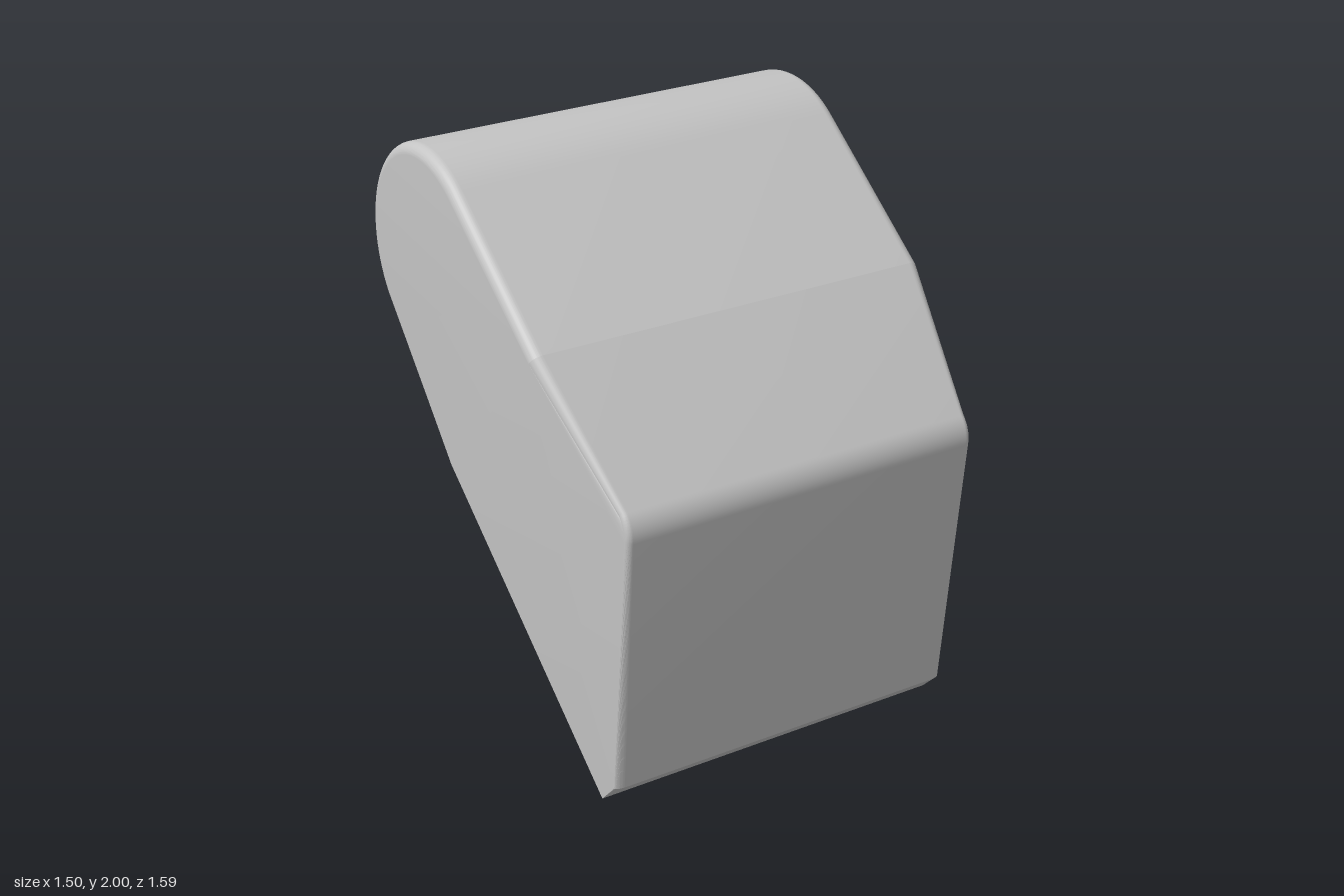
import * as THREE from 'three';
import { toCreasedNormals } from 'three/addons/utils/BufferGeometryUtils.js';

const FILLET_STEPS = 16;

// One outline station: the edge on the rim (z, y, half width), the matching
// edge of the side face, and how rounded the band between them is (0 = flat chamfer).
const station = (outer, inner, round = 1) => ({ outer, inner, round });

// Arc of stations around a centre in the z-y plane, angles in degrees from +z.
function arc(cz, cy, r, from, to, steps, inset, rimX, sideX) {
  const list = [];
  for (let i = 0; i <= steps; i++) {
    const a = THREE.MathUtils.degToRad(from + (to - from) * i / steps);
    const at = (rad, x) => [cz + rad * Math.cos(a), cy + rad * Math.sin(a), x];
    list.push(station(at(r, rimX), at(r - inset, sideX)));
  }
  return list;
}

function bodyGeometry() {
  // Outline from the foot, up the front, over the rounded top and down the back
  const outline = [
    station([0.52, 0, 0.60], [0.61, 0, 0.665], 0),
    station([0.61, 0, 0.664], [0.611, 0.001, 0.665], 0),
    station([0.70, 0.085, 0.625], [0.685, 0.085, 0.665]),
    ...arc(0.676, 1.062, 0.12, -5.6, 45.6, 10, 0.02, 0.645, 0.667),
    station([0.36, 1.54, 0.71], [0.335, 1.51, 0.75]),
    ...arc(-0.395, 1.605, 0.395, 53.3, 217.7, 36, 0.04, 0.71, 0.75),
    station([-0.29, 0.82, 0.69], [-0.25, 0.90, 0.75], 0.3),
  ];
  const shoulder = outline.findIndex((s) => s.outer[0] === 0.36);
  const n = outline.length;

  // Point on the rounded or chamfered band, t = 0 at the side face, 1 at the rim
  const bandPoint = ({ outer, inner, round }, t, side) => {
    const a = t * Math.PI / 2;
    const move = THREE.MathUtils.lerp(t, Math.sin(a), round);
    const narrow = THREE.MathUtils.lerp(t, 1 - Math.cos(a), round);
    const mix = (i, f) => THREE.MathUtils.lerp(inner[i], outer[i], f);
    return [side * mix(2, narrow), mix(1, move), mix(0, move)];
  };

  // Rings running from the left side face across to the right one
  const positions = [];
  const rings = 2 * (FILLET_STEPS + 1);
  for (let j = 0; j < rings; j++) {
    const side = j <= FILLET_STEPS ? 1 : -1;
    const t = (side > 0 ? j : rings - 1 - j) / FILLET_STEPS;
    outline.forEach((s) => positions.push(...bandPoint(s, t, side)));
  }

  const index = [];
  for (let j = 0; j < rings - 1; j++) {
    for (let i = 0; i < n; i++) {
      const a = j * n + i, b = j * n + (i + 1) % n;
      index.push(a, b, a + n, b, b + n, a + n);
    }
  }
  // Side faces fan out from the shoulder, which gives the tapered front facets
  const last = (rings - 1) * n;
  for (let k = 1; k < n - 1; k++) {
    const i = (shoulder + k) % n, m = (shoulder + k + 1) % n;
    index.push(shoulder, m, i, last + shoulder, last + i, last + m);
  }

  const geometry = new THREE.BufferGeometry();
  geometry.setAttribute('position', new THREE.Float32BufferAttribute(positions, 3));
  geometry.setIndex(index);
  return toCreasedNormals(geometry, 0.112);
}

export function createModel() {
  const grey = new THREE.MeshStandardMaterial({ color: 0xc4c4c4 });
  grey.name = 'light grey';

  const body = new THREE.Mesh(bodyGeometry(), grey);
  body.name = 'slantedBody';

  const model = new THREE.Group();
  model.name = 'slantedBlock';
  model.add(body);
  return model;
}
